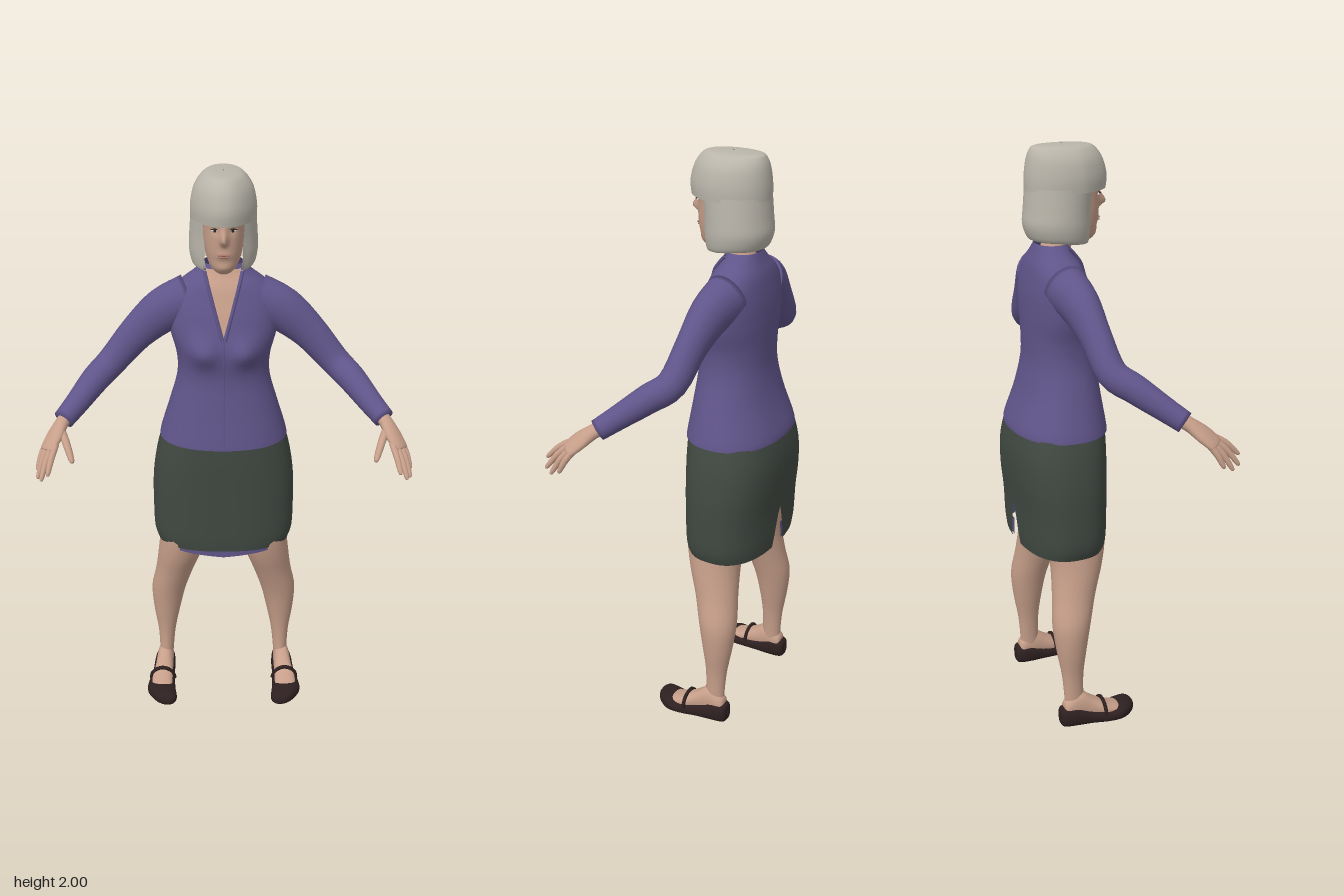
import * as THREE from 'three';

const mat = (name, color) => {
  const m = new THREE.MeshStandardMaterial({ color, side: THREE.DoubleSide });
  m.name = name;
  return m;
};

// Smooth interpolation through rows of numbers
function smooth(rows, k) {
  const out = [];
  const at = i => rows[Math.max(0, Math.min(rows.length - 1, i))];
  for (let i = 0; i < rows.length - 1; i++) {
    const [a, b, c, d] = [at(i - 1), at(i), at(i + 1), at(i + 2)];
    for (let s = 0; s < k; s++) {
      const t = s / k;
      out.push(b.map((v, n) => {
        const cubic = 3 * (v - c[n]) + d[n] - a[n];
        const square = 2 * a[n] - 5 * v + 4 * c[n] - d[n];
        return v + 0.5 * t * (c[n] - a[n] + t * (square + t * cubic));
      }));
    }
  }
  out.push(rows[rows.length - 1]);
  return out;
}

// Surface through equal rings of points
function skin(rings, closed) {
  const n = rings[0].length, pos = rings.flat(2), idx = [];
  for (let i = 0; i < rings.length - 1; i++) {
    for (let j = 0; j < (closed ? n : n - 1); j++) {
      const a = i * n + j, b = i * n + (j + 1) % n;
      idx.push(a, b, a + n, b, b + n, a + n);
    }
  }
  const g = new THREE.BufferGeometry();
  g.setAttribute('position', new THREE.Float32BufferAttribute(pos, 3));
  g.setIndex(idx);
  g.computeVertexNormals();
  return g;
}

// Level rings, bottom to top: [y, half width, front z, back z, centre x]
function stack(rows, { e = 2, n = 40, k = 4, start = Math.PI, gap = null, mod = null } = {}) {
  const pw = v => Math.sign(v) * Math.abs(v) ** (2 / e);
  const rings = smooth(rows, k).map(([y, rx, zf, zb, cx = 0]) => {
    const g = gap ? gap(y) : 0, ring = [];
    for (let j = 0; j < (gap ? n + 1 : n); j++) {
      const a = start + g + (2 * Math.PI - 2 * g) * j / n;
      const p = [cx + rx * pw(Math.sin(a)), y, (zf + zb) / 2 + (zf - zb) / 2 * pw(Math.cos(a))];
      ring.push(mod ? mod(...p) : p);
    }
    return ring;
  });
  return skin(rings, !gap);
}

// Tapered limb with closed ends: [x, y, z, radius along ref, other radius]
function limb(pts, { ref = [0, 0, 1], n = 16, k = 4 } = {}) {
  const rows = smooth(pts.map(p => [p[0], p[1], p[2], p[3], p[4] ?? p[3]]), k);
  const c = rows.map(r => new THREE.Vector3(r[0], r[1], r[2])), last = rows.length - 1;
  const rings = rows.map((r, i) => {
    const t = c[Math.min(i + 1, last)].clone().sub(c[Math.max(i - 1, 0)]).normalize();
    const u = new THREE.Vector3(...ref).projectOnPlane(t).normalize();
    const v = t.clone().cross(u);
    return Array.from({ length: n }, (_, j) => {
      const a = j / n * 2 * Math.PI;
      return c[i].clone().addScaledVector(u, r[3] * Math.cos(a)).addScaledVector(v, r[4] * Math.sin(a)).toArray();
    });
  });
  const end = i => Array.from({ length: n }, () => c[i].toArray());
  return skin([end(0), ...rings, end(last)], true);
}

function mirrored(geo) {
  const g = geo.clone().scale(-1, 1, 1), ix = g.index.array;
  for (let i = 0; i < ix.length; i += 3) [ix[i + 1], ix[i + 2]] = [ix[i + 2], ix[i + 1]];
  g.computeVertexNormals();
  return g;
}

export function createModel() {
  const model = new THREE.Group();
  model.name = 'woman';
  const flesh = mat('skin', 0xc79f8a), purple = mat('blouse purple', 0x60558a);
  const green = mat('skirt dark green', 0x414942), grey = mat('hair grey', 0xb9b5aa);
  const brown = mat('shoe brown', 0x2e2020), lipRed = mat('lips', 0xa8776a);
  const dark = mat('brow dark', 0x2b2523), white = mat('eye white', 0xd8d2cc);

  const add = (name, geo, material) => {
    const m = new THREE.Mesh(geo, material);
    m.name = name;
    model.add(m);
    return m;
  };
  const pair = (name, geo, material) => {
    add(name + 'Left', geo, material);
    add(name + 'Right', mirrored(geo), material);
  };
  const gauss = (v, w) => Math.exp(-(v * v) / (w * w));

  // Blouse body
  const blouse = add('blouse', stack([
    [1.07, .222, .05, -.272], [1.1, .215, .046, -.266], [1.2, .185, .03, -.232],
    [1.3, .158, .018, -.212], [1.38, .158, .022, -.21], [1.46, .178, .018, -.212],
    [1.53, .182, 0, -.21], [1.585, .174, -.02, -.203], [1.625, .142, -.035, -.195],
    [1.658, .098, -.055, -.182], [1.69, .066, -.068, -.17],
  ], {
    e: 2.25, n: 64, k: 5,
    mod: (x, y, z) => [x, y, z + (z > -.07 ? .032 * gauss(Math.abs(x) - .07, .05) * gauss(y - 1.415, .045) : 0)],
  }), purple);

  // Depth of a mesh's front surface at x, y
  const ray = new THREE.Raycaster();
  const frontZ = (mesh, x, y, fallback) => {
    ray.set(new THREE.Vector3(x, y, 1), new THREE.Vector3(0, 0, -1));
    const hit = ray.intersectObject(mesh)[0];
    return hit ? hit.point.z : fallback;
  };

  // Open neckline, collar edges and front placket
  const onFront = (x, y, lift) => [x, y, frontZ(blouse, x, y, -.07) + lift];
  const neckHalf = y => .056 * (y - 1.46) / .2;
  const neckRows = Array.from({ length: 17 }, (_, i) => 1.462 + i * .0135);
  const neckline = neckRows.map(y =>
    Array.from({ length: 9 }, (_, j) => onFront(neckHalf(y) * (j / 4 - 1), y, .004)));
  add('neckOpening', skin(neckline, false), flesh);
  const trim = (pts, r) => new THREE.TubeGeometry(
    new THREE.CatmullRomCurve3(pts.map(p => new THREE.Vector3(...p))), 32, r, 6);
  pair('collarEdge', trim(neckRows.map(y => onFront(neckHalf(y) + .003, y, .003)), .007), purple);
  add('placket', trim(Array.from({ length: 12 }, (_, i) => onFront(0, 1.08 + i * .0345, 0)), .003), purple);

  // Sleeves
  pair('sleeve', limb([
    [.11, 1.565, -.115, .075, .08], [.2, 1.525, -.1, .062, .075], [.29, 1.45, -.088, .049, .06],
    [.375, 1.355, -.07, .048, .05], [.43, 1.312, -.015, .046, .047], [.485, 1.26, .053, .039, .04],
    [.53, 1.22, .106, .035, .035],
  ], { n: 24 }), purple);

  // Hands
  pair('palm', limb([
    [.515, 1.232, .09, .025, .024], [.535, 1.213, .12, .026, .021], [.555, 1.185, .155, .037, .019],
    [.575, 1.157, .185, .036, .014], [.58, 1.15, .192, .03, .01],
  ], { ref: [.04, -.015, -.04] }), flesh);
  const fingers = [
    ['indexFinger', [.55, 1.165, .2], [.57, 1.102, .278]], ['middleFinger', [.565, 1.158, .195], [.594, 1.077, .266]],
    ['ringFinger', [.58, 1.152, .182], [.609, 1.07, .237]], ['littleFinger', [.59, 1.148, .167], [.613, 1.084, .203]],
    ['thumb', [.535, 1.2, .14], [.492, 1.128, .238]],
  ];
  for (const [name, a, b] of fingers) {
    const mix = (t, up) => a.map((v, i) => v + (b[i] - v) * t + (i === 1 ? up : 0));
    const w = name === 'thumb' ? .013 : .0105;
    pair(name, limb([[...mix(-.1, 0), w], [...mix(.45, .008), w], [...mix(.9, .002), w * .75], [...b, w * .35]],
      { n: 10, k: 3 }), flesh);
  }

  // Skirt with a back slit, and its lining
  add('skirt', stack([
    [.652, .236, .028, -.258], [.7, .25, .032, -.262], [.8, .252, .034, -.266], [.9, .25, .036, -.276],
    [1, .236, .038, -.277], [1.09, .212, .036, -.26], [1.12, .2, .03, -.25],
  ], { e: 2.5, n: 64, gap: y => Math.max(0, .8 - y) * .7 }), green);
  add('skirtLining', stack([[.65, .232, .026, -.25], [.72, .244, .026, -.254]], {
    e: 2.5, n: 64, gap: y => Math.max(0, .8 - y) * .8,
    mod: (x, y, z) => [x, y - (z > -.1 && y < .69 ? .024 * (1 - Math.abs(x) / .24) : 0), z],
  }), purple);

  // Legs
  pair('leg', stack([
    [.05, .027, -.095, -.17, .223], [.1, .026, -.1, -.17, .221], [.2, .033, -.1, -.178, .218],
    [.3, .05, -.088, -.195, .215], [.4, .064, -.07, -.205, .206], [.5, .07, -.042, -.195, .181],
    [.6, .081, -.008, -.19, .157], [.7, .085, .01, -.2, .142], [.85, .09, .01, -.21, .125],
  ], { n: 28 }), flesh);

  // Feet and shoes, stacked heel to toe: [z, half width, -bottom, -top, centre x]
  const alongZ = (rows, e) => stack(rows, { n: 28, e }).rotateX(Math.PI / 2);
  pair('foot', alongZ([
    [-.178, .004, -.05, -.07, .225], [-.17, .026, -.03, -.1, .225], [-.12, .031, -.02, -.13, .226],
    [-.07, .034, -.02, -.098, .23], [-.02, .039, -.02, -.068, .236], [.03, .036, -.02, -.05, .235],
    [.04, .004, -.03, -.035, .234],
  ], 2.2), flesh);
  pair('shoe', alongZ([
    [-.191, .004, -.03, -.05, .227], [-.184, .028, -.004, -.074, .227], [-.14, .039, 0, -.078, .228],
    [-.08, .042, 0, -.056, .232], [-.02, .05, 0, -.047, .238], [.03, .053, 0, -.052, .237],
    [.07, .043, 0, -.047, .222], [.09, .024, -.005, -.036, .214], [.095, .003, -.016, -.022, .212],
  ], 2.7), brown);
  pair('shoeStrap', trim([[.188, .035, -.035], [.197, .06, -.035], [.216, .078, -.035], [.237, .083, -.035],
    [.26, .075, -.035], [.276, .055, -.035], [.28, .035, -.035]], .007), brown);

  // Neck and head, with the nose, eye sockets, lips and chin shaped from the face
  add('neck', limb([[0, 1.57, -.115, .055], [0, 1.65, -.108, .05], [0, 1.7, -.09, .046], [0, 1.76, -.075, .046]],
    { n: 24 }), flesh);
  const head = add('head', stack([
    [1.688, .004, .002, -.02], [1.692, .022, .02, -.035], [1.71, .042, .034, -.07], [1.74, .056, .039, -.11],
    [1.78, .064, .045, -.14], [1.83, .069, .047, -.16], [1.88, .07, .05, -.17], [1.93, .06, .035, -.16],
    [1.965, .01, -.04, -.08],
  ], {
    n: 80, k: 6, e: 2.2,
    mod: (x, y, z) => {
      if (z < 0) return [x, y, z];
      const nose = gauss(y - 1.808, y > 1.808 ? .03 : .013) * gauss(x, .011);
      const socket = gauss(Math.abs(x) - .028, .014) * gauss(y - 1.838, .011);
      const mouth = gauss(y - 1.757, .012) * gauss(x, .025);
      const chin = gauss(y - 1.715, .014) * gauss(x, .02);
      return [x, y, z + .03 * nose - .006 * socket + .005 * mouth + .004 * chin];
    },
  }), flesh);

  // Facial details set on the face
  const bead = (x, y, lift, sx, sy, sz, tilt = 0) => new THREE.SphereGeometry(1, 16, 10)
    .scale(sx, sy, sz).rotateZ(tilt).translate(x, y, frontZ(head, x, y, .04) + lift);
  pair('eye', bead(.028, 1.838, 0, .012, .0055, .004), white);
  pair('iris', bead(.028, 1.838, .0025, .005, .005, .003), dark);
  pair('upperLash', bead(.028, 1.8435, .002, .0145, .002, .004, -.08), dark);
  pair('eyebrow', bead(.029, 1.856, .001, .017, .0028, .0035, .12), dark);
  add('upperLip', bead(0, 1.761, 0, .021, .0035, .004), lipRed);
  add('lowerLip', bead(0, 1.754, 0, .018, .004, .0045), lipRed);

  // Hair: crown with fringe, and the bob open around the face
  add('hairCrown', stack([
    [1.857, .106, .068, -.2], [1.9, .106, .072, -.2], [1.95, .095, .058, -.194],
    [1.982, .074, .036, -.184], [1.996, .05, .01, -.165], [2, .002, -.06, -.08],
  ], {
    n: 56, e: 2.1,
    mod: (x, y, z) => [x * (1 - .18 * Math.max(0, z + .04) / .11), y, z],
  }), grey);
  const bobRows = [[1.7, .088, -.005, -.175], [1.708, .103, .008, -.192], [1.75, .112, .014, -.207],
    [1.8, .11, .016, -.204], [1.87, .105, .025, -.199]];
  const droop = (x, y, z) => [x, y - (y < 1.78 ? .016 * Math.max(0, z + .12) / .12 : 0), z];
  add('hairBob', stack(bobRows, { n: 48, start: 0, gap: () => .66, mod: droop }), grey);
  add('hairBobInside', stack(bobRows.map(([y, r, f, b]) => [y, r - .014, f - .012, b + .014]),
    { n: 48, start: 0, gap: () => .68, mod: droop }), grey);
  return model;
}
